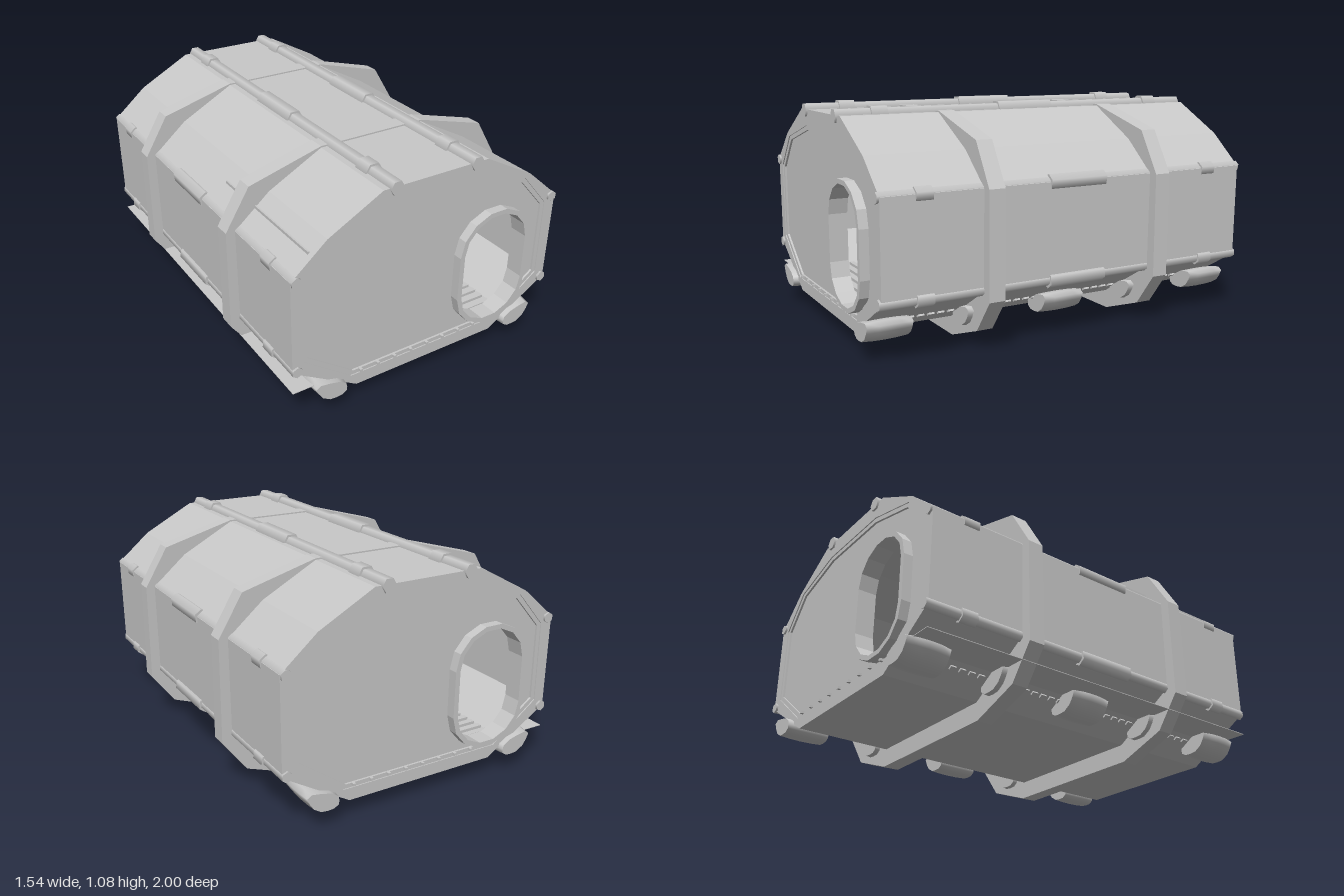
import * as THREE from 'three';

const grey = new THREE.MeshStandardMaterial({ color: 0xc8c8c8 });
grey.name = 'grey';
const greySheet = grey; // the same colour is used throughout

// Right-hand half outlines, bottom to top
const HULL = [[0.39, 0.09], [0.72, 0.29], [0.725, 0.75], [0.55, 0.9], [0.28, 1.045]];
const INNER = [[0.42, 0.15], [0.665, 0.33], [0.665, 0.72], [0.52, 0.885], [0.22, 0.965]];
const RING = [[0.4, 0], [0.65, 0.09], [0.77, 0.25], [0.77, 0.75], [0.65, 0.95], [0.28, 1.052]];
const RING_HOLE = [[0.38, 0.1], [0.71, 0.3], [0.715, 0.745], [0.54, 0.89], [0.275, 1.035]];

const points = (list) => list.map(([x, y]) => new THREE.Vector2(x, y));
const mirrored = (half) => points([...half, ...half.map(([x, y]) => [-x, y]).reverse()]);

function extrude(outline, hole, depth) {
  const shape = new THREE.Shape(outline);
  if (hole) shape.holes.push(new THREE.Path(hole));
  return new THREE.ExtrudeGeometry(shape, { depth, bevelEnabled: false, curveSegments: 1 });
}

// Doorway outline: straight sides with faceted round ends
function doorOutline(halfWidth) {
  const out = [];
  for (const end of [0, 1]) {
    for (let i = 0; i <= 7; i++) {
      const a = end * Math.PI + (i / 7) * Math.PI;
      out.push(new THREE.Vector2(0.35 + Math.cos(a) * halfWidth,
        (end ? 0.365 : 0.59) + Math.sin(a) * halfWidth * 0.92));
    }
  }
  return out;
}

export function createModel() {
  const model = new THREE.Group();
  model.name = 'habitatPod';

  function add(parent, name, geometry, x = 0, y = 0, z = 0) {
    const mesh = new THREE.Mesh(geometry, grey);
    mesh.name = name;
    mesh.position.set(x, y, z);
    parent.add(mesh);
    return mesh;
  }
  const box = (parent, name, w, h, d, x, y, z) =>
    add(parent, name, new THREE.BoxGeometry(w, h, d), x, y, z);

  // Hull shell
  add(model, 'hull', extrude(mirrored(HULL), mirrored(INNER), 1.94), 0, 0, -0.97);

  // Two outer reinforcing rings
  for (const z of [-0.45, 0.45]) {
    add(model, 'reinforcingRing', extrude(mirrored(RING), mirrored(RING_HOLE), 0.08), 0, 0, z - 0.04);
  }

  // Both ends, the back one turned half round
  for (const turn of [0, Math.PI]) {
    const end = new THREE.Group();
    end.name = turn ? 'backEnd' : 'frontEnd';
    end.rotation.y = turn;
    model.add(end);
    add(end, 'endWall', extrude(mirrored(INNER), doorOutline(0.19), 0.03), 0, 0, 0.925);
    const lip = INNER.map(([x, y]) => [x * 0.97, 0.55 + (y - 0.55) * 0.95]);
    add(end, 'endWallTrim', extrude(mirrored(INNER), mirrored(lip), 0.02), 0, 0, 0.945);
    add(end, 'doorFrame', extrude(doorOutline(0.207), doorOutline(0.182), 0.09), 0, 0, 0.91);
    for (let i = -4; i <= 4; i++) {
      box(end, 'endBolt', 0.014, 0.012, 0.02, i * 0.0925, 0.165, 0.97);
    }
  }

  // Long pipes with sleeves on the hull edges
  function pipe(x, y, tilt) {
    const group = new THREE.Group();
    group.name = 'pipe';
    group.position.set(x, y, 0);
    group.rotation.z = tilt;
    model.add(group);
    const rod = (name, radius, length, z) => {
      const g = new THREE.CylinderGeometry(radius, radius, length, 6, 1, false, Math.PI / 2);
      g.rotateX(Math.PI / 2);
      add(group, name, g, 0, 0, z);
    };
    rod('pipeRod', tilt ? 0.026 : 0.035, 1.96, 0);
    rod('middleSleeve', tilt ? 0.039 : 0.046, 0.3, 0);
    for (const z of [-0.77, 0.77]) rod('endSleeve', tilt ? 0.036 : 0.046, 0.08, z);
  }
  for (const s of [-1, 1]) {
    pipe(s * 0.215, 1.042, 0);
    pipe(s * 0.7, 0.745, s * 0.4);
    pipe(s * 0.7, 0.293, -s * 0.4);
  }

  // Rounded feet along both lower edges
  function foot(side, z, width) {
    const profile = [[0.45, 0.085], [0.575, 0.085], [0.65, 0.208], [0.45, 0.165]];
    const g = new THREE.CylinderGeometry(1, 1, width, 12, 4);
    g.rotateX(Math.PI / 2);
    const p = g.attributes.position;
    // Map the round section onto the four-sided foot, slimmer towards its ends
    for (let i = 0; i < p.count; i++) {
      const px = p.getX(i), py = p.getY(i);
      const m = Math.max(Math.abs(px), Math.abs(py), 1e-6);
      const r = Math.hypot(px, py) / m;
      const slim = 1 - 0.1 * Math.pow((2 * Math.abs(p.getZ(i))) / width, 2);
      const u = (px * (0.4 + 0.6 * r) * slim + 1) / 2;
      const v = (py * (0.4 + 0.6 * r) * slim + 1) / 2;
      const uu = THREE.MathUtils.clamp(u, 0, 1), vv = THREE.MathUtils.clamp(v, 0, 1);
      const mix = (k) => (1 - vv) * ((1 - uu) * profile[0][k] + uu * profile[1][k])
        + vv * ((1 - uu) * profile[3][k] + uu * profile[2][k]);
      p.setXY(i, mix(0), mix(1));
    }
    g.computeVertexNormals();
    if (side < 0) g.rotateY(Math.PI);
    add(model, 'foot', g, 0, 0, z);
  }
  for (const s of [-1, 1]) {
    for (const z of [-0.89, 0, 0.89]) foot(s, z, 0.215);
    for (const z of [-0.45, 0.45]) foot(s, z, 0.13);
    // Row of bolts on the lower slope
    for (let i = -18; i <= 18; i++) {
      const bolt = box(model, 'sideBolt', 0.02, 0.012, 0.03, s * 0.506, 0.157, i * 0.05);
      bolt.rotation.z = s * 0.545;
    }
  }

  // Thin side skirt and roof strip on the right
  box(model, 'sideSkirt', 0.25, 0.003, 1.94, -0.595, 0.18, 0);
  box(model, 'roofStrip', 0.008, 0.03, 0.73, -0.62, 0.835, 0.575);

  // Interior floor slats
  box(model, 'floor', 1.0, 0.01, 1.84, 0, 0.175, 0);
  for (let i = -17; i <= 17; i++) {
    box(model, 'floorSlat', 0.9, 0.014, 0.025, 0, 0.187, i * 0.052);
  }

  // Interior table with a leg, a panel and small equipment
  const table = new THREE.Group();
  table.name = 'table';
  model.add(table);
  box(table, 'tableTop', 0.62, 0.026, 0.4, 0.215, 0.425, -0.4);
  box(table, 'tableLeg', 0.045, 0.24, 0.34, 0.48, 0.3, -0.4);
  box(table, 'tableLeg', 0.045, 0.24, 0.34, -0.05, 0.3, -0.4);
  box(table, 'tablePanel', 0.02, 0.16, 0.2, 0.175, 0.52, -0.4);
  [[0.245, 0.08, 0.05], [0.35, 0.1, 0.058], [0.455, 0.085, 0.034]].forEach(([x, w, h]) => {
    box(table, 'equipment', w, h, 0.16, x, 0.438 + h / 2, -0.38);
  });

  return model;
}
